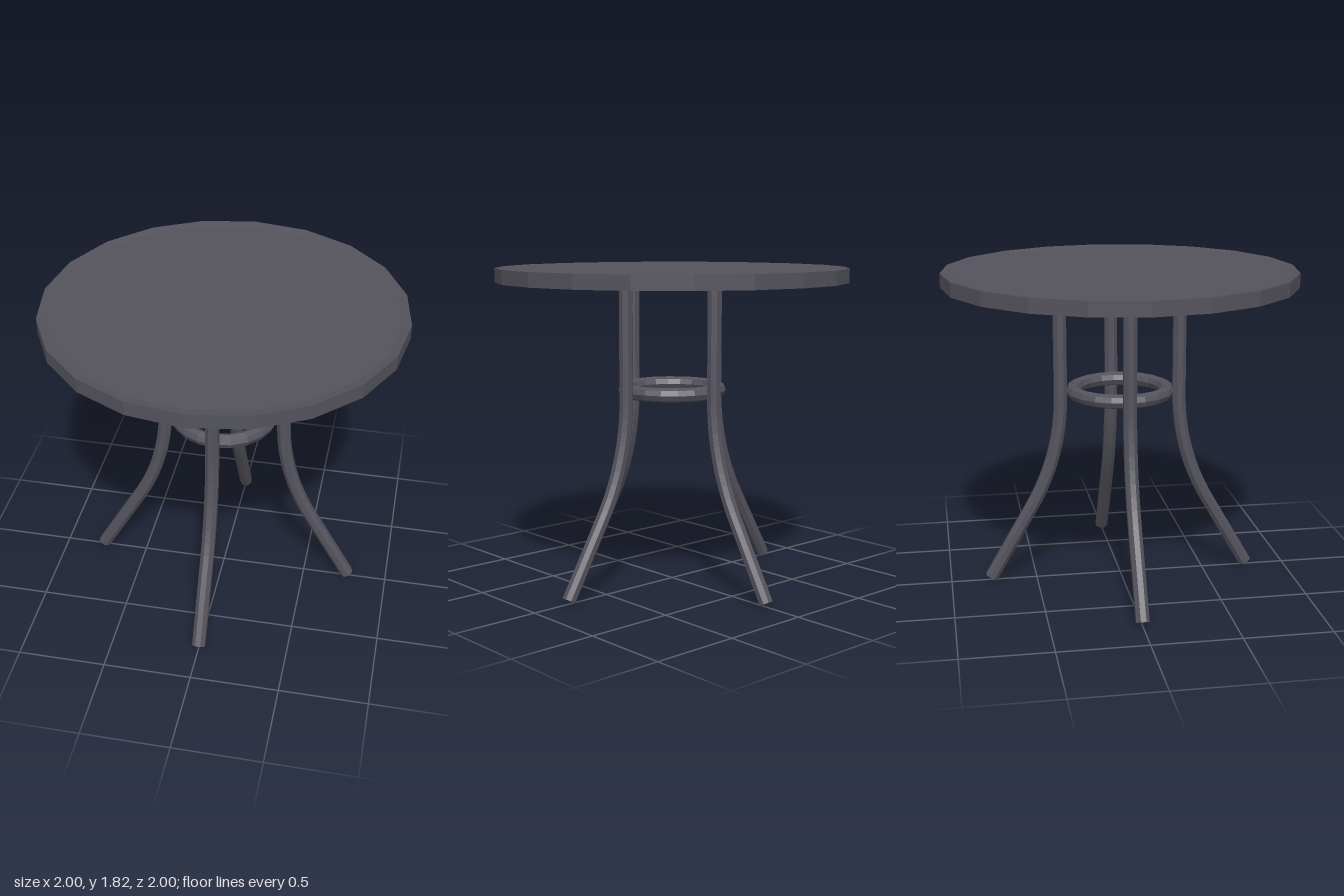
import * as THREE from 'three';

const metal = new THREE.MeshStandardMaterial({ color: 0x54535d, flatShading: true });
metal.name = 'dark grey metal';

const v = (x, y) => new THREE.Vector3(x, y, 0);

// Regular polygon with a flat side facing each axis
function polygon(radius, sides) {
  const pts = [];
  for (let i = 0; i < sides; i++) {
    const a = ((i + 0.5) / sides) * Math.PI * 2;
    pts.push(new THREE.Vector2(Math.cos(a) * radius, Math.sin(a) * radius));
  }
  return new THREE.Shape(pts);
}

export function createModel() {
  const table = new THREE.Group();
  table.name = 'roundTable';

  function add(name, geometry) {
    const mesh = new THREE.Mesh(geometry, metal);
    mesh.name = name;
    table.add(mesh);
    return mesh;
  }

  // Twenty-sided top with a shallow dished rim
  const profile = [[0, 1.745], [1, 1.745], [1, 1.825], [0.95, 1.817], [0, 1.817]];
  add('tableTop', new THREE.LatheGeometry(profile.map(([x, y]) => new THREE.Vector2(x, y)), 20));

  // Bent leg: upright, a 30 degree bend, then a straight splayed foot
  const path = new THREE.CurvePath();
  const top = 0.345, bend = 1.1, R = 1.3, angle = Math.PI / 6;
  const h = (4 / 3) * Math.tan(angle / 4) * R;
  const s = Math.sin(angle), c = Math.cos(angle);
  const endX = top + R * (1 - c), endY = bend - R * s;
  const footY = 0.022;
  path.add(new THREE.LineCurve3(v(top, 1.75), v(top, bend)));
  path.add(new THREE.CubicBezierCurve3(
    v(top, bend), v(top, bend - h), v(endX - s * h, endY + c * h), v(endX, endY)));
  path.add(new THREE.LineCurve3(v(endX, endY), v(endX + (endY - footY) * Math.tan(angle), footY)));
  const legGeometry = new THREE.ExtrudeGeometry(polygon(0.04, 8), { steps: 24, extrudePath: path });
  ['leftLeg', 'backLeg', 'rightLeg', 'frontLeg'].forEach((name, i) => {
    add(name, legGeometry).rotation.y = (i * Math.PI) / 2;
  });

  // Ring brace joining the legs
  const ring = add('braceRing', new THREE.TorusGeometry(0.27, 0.041, 8, 20));
  ring.rotation.x = Math.PI / 2;
  ring.position.y = 1.128;

  return table;
}
